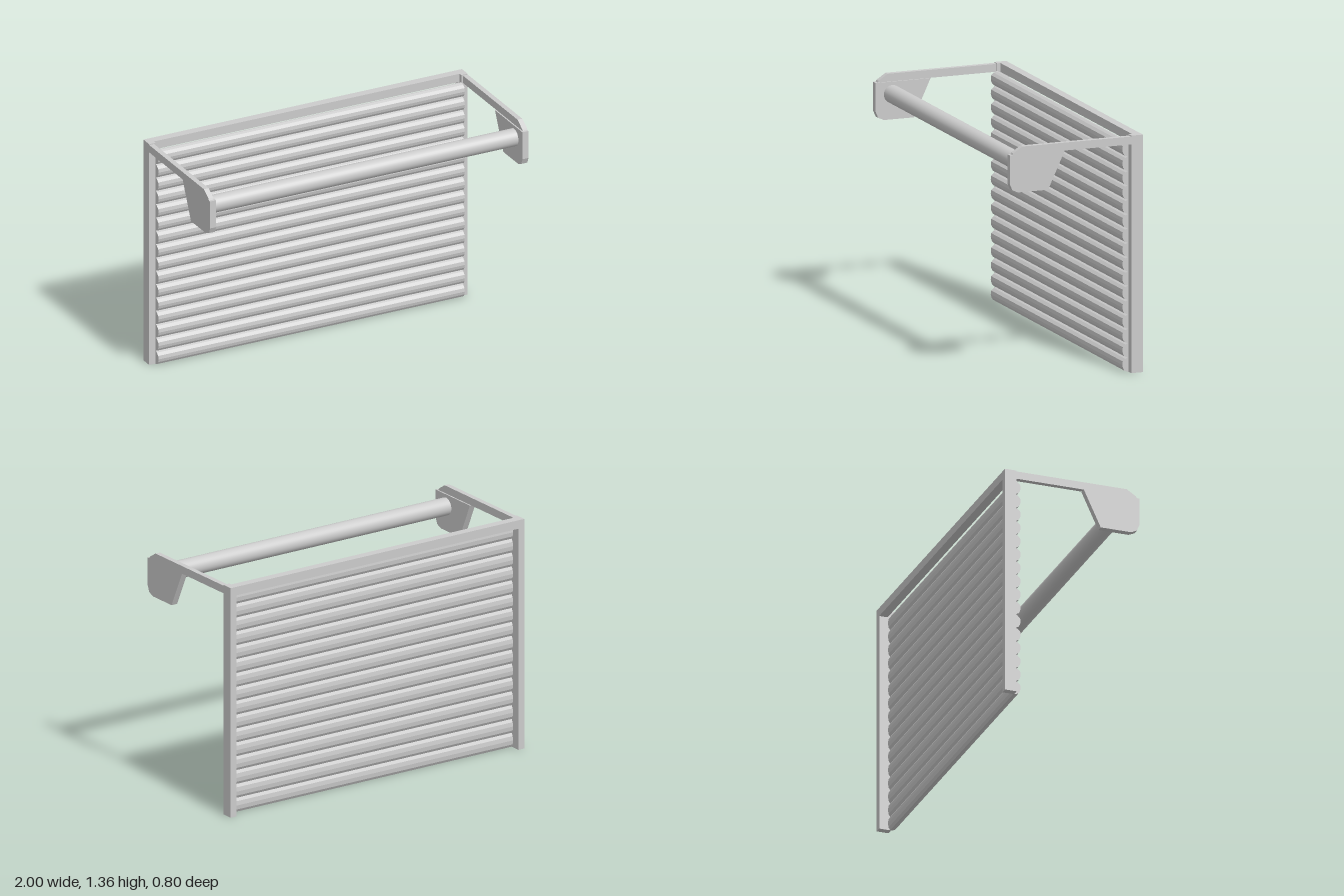
import * as THREE from 'three';

const material = new THREE.MeshStandardMaterial({ color: 0xcccccc, flatShading: true });
const smooth = new THREE.MeshStandardMaterial({ color: 0xcccccc });

// Extrude a [z, y] outline along x, from x0 to x1
function prism(name, points, x0, x1) {
  const shape = new THREE.Shape(points.map(([z, y]) => new THREE.Vector2(-z, y)));
  const geometry = new THREE.ExtrudeGeometry(shape, { depth: x1 - x0, bevelEnabled: false });
  geometry.rotateY(Math.PI / 2).translate(x0, 0, 0);
  const mesh = new THREE.Mesh(geometry, material);
  mesh.name = name;
  return mesh;
}

function box(name, x0, x1, y0, y1, z0, z1) {
  const mesh = new THREE.Mesh(new THREE.BoxGeometry(x1 - x0, y1 - y0, z1 - z0), material);
  mesh.position.set((x0 + x1) / 2, (y0 + y1) / 2, (z0 + z1) / 2);
  mesh.name = name;
  return mesh;
}

export function createModel() {
  const model = new THREE.Group();
  model.name = 'rollerShutter';

  // Curtain of interlocking slats, rounded on both faces
  const curtain = new THREE.Group();
  curtain.name = 'curtain';
  const count = 16;
  const pitch = 1.31 / count;
  const profile = [
    [-0.325, 0], [-0.305, 0.1], [-0.296, 0.28], [-0.292, 0.5], [-0.295, 0.75], [-0.31, 0.92], [-0.325, 1],
    [-0.335, 1], [-0.345, 0.8], [-0.348, 0.5], [-0.345, 0.2], [-0.335, 0],
  ];
  for (let i = 0; i < count; i++) {
    const outline = profile.map(([z, t]) => [z, (i + t) * pitch]);
    curtain.add(prism('slat', outline, -0.962, 0.962));
  }
  model.add(curtain);

  // Header across the top of the opening
  model.add(box('header', -0.96, 0.96, 1.305, 1.355, -0.4, -0.35));

  // Each side: guide post, horizontal track and roller bracket
  for (const s of [-1, 1]) {
    const span = (a, b) => (s > 0 ? [a, b] : [-b, -a]);
    const side = new THREE.Group();
    side.name = s > 0 ? 'leftSide' : 'rightSide';
    side.add(box('guidePost', ...span(0.96, 1), 0, 1.355, -0.4, -0.33));
    side.add(prism('horizontalTrack',
      [[-0.33, 1.305], [0.385, 1.305], [0.38, 1.315], [0.325, 1.35], [-0.33, 1.35]], ...span(0.97, 1)));
    side.add(prism('rollerBracket',
      [[0.07, 1.305], [0.17, 1.09], [0.35, 1.09], [0.385, 1.105], [0.4, 1.14], [0.4, 1.305]],
      ...span(0.962, 1)));
    model.add(side);
  }

  // Roller tube between the brackets
  const roller = new THREE.Mesh(new THREE.CylinderGeometry(0.051, 0.051, 1.93, 32), smooth);
  roller.rotation.z = Math.PI / 2;
  roller.position.set(0, 1.235, 0.3);
  roller.name = 'rollerTube';
  model.add(roller);

  return model;
}
